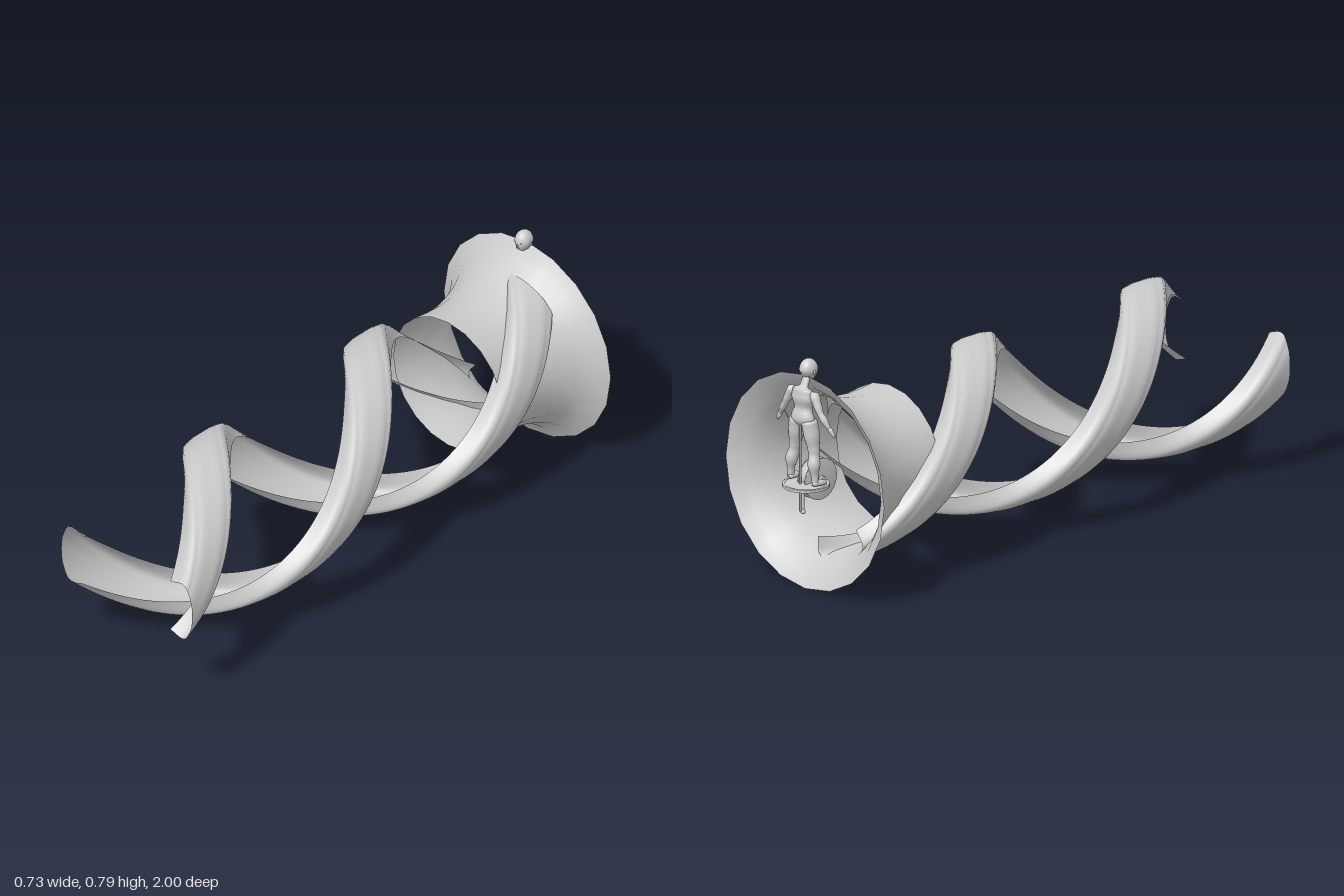
import * as THREE from 'three';
import { ParametricGeometry } from 'three/addons/geometries/ParametricGeometry.js';

const AXIS_Y = 0.367;
const PITCH = 1.54;
const V3 = (x, y, z) => new THREE.Vector3(x, y, z);

export function createModel() {
  const model = new THREE.Group();
  const solid = new THREE.MeshStandardMaterial({ color: 0xcccccc });
  const thin = new THREE.MeshStandardMaterial({ color: 0xcccccc, side: THREE.DoubleSide });

  function add(name, geometry, x = 0, y = 0, z = 0, material = solid, parent = model) {
    const mesh = new THREE.Mesh(geometry, material);
    mesh.name = name;
    mesh.position.set(x, y, z);
    parent.add(mesh);
    return mesh;
  }

  // Organic tube through [x, y, z, radius] points, optionally flattened
  function limb(points, sx = 1, sz = 1) {
    const curve = new THREE.CatmullRomCurve3(points.map(p => V3(p[0], p[1], p[2])));
    const rings = points.length * 5, sides = 16;
    const geometry = new THREE.TubeGeometry(curve, rings, 1, sides);
    const pos = geometry.attributes.position, v = V3(0, 0, 0);
    for (let i = 0; i <= rings; i++) {
      const t = curve.getUtoTmapping(i / rings) * (points.length - 1);
      const k = Math.min(Math.floor(t), points.length - 2);
      const r = THREE.MathUtils.lerp(points[k][3], points[k + 1][3], THREE.MathUtils.smoothstep(t - k, 0, 1));
      const c = curve.getPointAt(i / rings);
      for (let j = 0; j <= sides; j++) {
        const n = i * (sides + 1) + j;
        v.fromBufferAttribute(pos, n).sub(c).multiplyScalar(r);
        pos.setXYZ(n, c.x + v.x * sx, c.y + v.y, c.z + v.z * sz);
      }
    }
    geometry.computeVertexNormals();
    return geometry;
  }

  // Flared horn, open at both ends
  const hornProfile = [
    [0.241, -0.54], [0.235, -0.59], [0.232, -0.65], [0.236, -0.7], [0.246, -0.75],
    [0.262, -0.8], [0.285, -0.845], [0.315, -0.885], [0.367, -0.92],
  ].map(([r, z]) => new THREE.Vector2(r, z));
  add('horn', new THREE.LatheGeometry(hornProfile, 20).rotateX(Math.PI / 2), 0, AXIS_Y, 0, thin);

  // Two spiral bands with a channel section: [angle in degrees, radius]
  const section = new THREE.CatmullRomCurve3([
    [-26, 0.213], [-24, 0.265], [-14, 0.285], [0, 0.288], [14, 0.285], [24, 0.265], [26, 0.213],
  ].map(([a, r]) => V3(a * Math.PI / 180, r, 0)));
  for (let s = 0; s < 2; s++) {
    const band = new ParametricGeometry((u, v, target) => {
      const z = THREE.MathUtils.lerp(1, -0.84, u);
      const p = section.getPoint(THREE.MathUtils.clamp(v, 0, 1));
      const a = (1 - z) / PITCH * Math.PI * 2 + s * Math.PI + p.x;
      target.set(p.y * Math.cos(a), AXIS_Y + p.y * Math.sin(a), z);
    }, 96, 18);
    add(s ? 'spiralBandRight' : 'spiralBandLeft', band, 0, 0, 0, thin);
  }

  // Standing figure
  const figure = new THREE.Group();
  figure.name = 'figure';
  model.add(figure);
  const body = (name, geometry, x, y, z) => add(name, geometry, x, y, z, solid, figure);

  body('torso', limb([
    [0, 0.555, -0.928, 0.004], [0, 0.566, -0.928, 0.028], [0, 0.59, -0.93, 0.048], [0, 0.625, -0.928, 0.036],
    [0, 0.66, -0.928, 0.048], [0, 0.685, -0.928, 0.042], [0, 0.697, -0.925, 0.016], [0, 0.725, -0.912, 0.015],
  ], 1, 0.58));

  // Head: an egg narrowing to the chin
  const head = new THREE.SphereGeometry(1, 28, 20);
  const hp = head.attributes.position;
  for (let i = 0; i < hp.count; i++) {
    const y = hp.getY(i), k = y < 0 ? 1 + 0.28 * y : 1;
    hp.setXYZ(i, hp.getX(i) * 0.029 * k, y * 0.037, hp.getZ(i) * 0.033 * k + (y < 0 ? -0.007 * y : 0));
  }
  head.computeVertexNormals();
  body('head', head, 0, 0.749, -0.904);
  body('nose', new THREE.ConeGeometry(0.004, 0.016, 8), 0, 0.744, -0.871);
  body('mouth', new THREE.SphereGeometry(0.006, 10, 8).scale(1.2, 0.4, 0.5), 0, 0.729, -0.875);

  for (const s of [1, -1]) {
    const side = s > 0 ? 'left' : 'right';
    body(side + 'Ear', new THREE.SphereGeometry(0.008, 10, 8).scale(0.4, 1, 0.6), s * 0.029, 0.745, -0.906);
    body(side + 'Eye', new THREE.SphereGeometry(0.005, 10, 8).scale(1.1, 0.6, 0.5), s * 0.011, 0.752, -0.875);
    body(side + 'Leg', limb([
      [s * 0.026, 0.6, -0.93, 0.006], [s * 0.028, 0.58, -0.928, 0.027], [s * 0.035, 0.54, -0.925, 0.027],
      [s * 0.043, 0.49, -0.923, 0.02], [s * 0.046, 0.47, -0.924, 0.018], [s * 0.051, 0.44, -0.93, 0.021],
      [s * 0.055, 0.4, -0.93, 0.012], [s * 0.056, 0.376, -0.93, 0.011], [s * 0.056, 0.369, -0.93, 0.002],
    ]));
    body(side + 'Foot', limb([
      [s * 0.055, 0.376, -0.943, 0.003], [s * 0.055, 0.377, -0.935, 0.01], [s * 0.058, 0.376, -0.91, 0.011],
      [s * 0.06, 0.373, -0.89, 0.008], [s * 0.06, 0.372, -0.882, 0.002],
    ], 1.3));
    body(side + 'Arm', limb([
      [s * 0.035, 0.682, -0.928, 0.006], [s * 0.052, 0.673, -0.928, 0.017], [s * 0.068, 0.646, -0.93, 0.014],
      [s * 0.083, 0.62, -0.93, 0.011], [s * 0.095, 0.603, -0.927, 0.012], [s * 0.112, 0.578, -0.922, 0.007],
    ]));
    body(side + 'Hand', limb([
      [s * 0.11, 0.581, -0.922, 0.006], [s * 0.118, 0.57, -0.92, 0.01],
      [s * 0.127, 0.558, -0.917, 0.008], [s * 0.134, 0.547, -0.914, 0.002],
    ], 1, 0.6));
  }

  // Stand: footplate, support pole and lower knob
  add('footplate', new THREE.CylinderGeometry(0.078, 0.078, 0.009, 32), -0.006, 0.36, -0.922);
  add('footplateRim', new THREE.TorusGeometry(0.073, 0.005, 8, 32).rotateX(Math.PI / 2), -0.006, 0.362, -0.922);
  add('supportPole', new THREE.CylinderGeometry(0.0035, 0.0035, 0.42, 10), 0, 0.48, -0.942);
  add('lowerPole', new THREE.CylinderGeometry(0.005, 0.005, 0.09, 10), 0, 0.315, -0.93);
  add('knob', new THREE.SphereGeometry(0.009, 14, 10), 0, 0.267, -0.93);

  // Grooved wheel ahead of the pole
  const wheelProfile = [
    [0.012, -0.02], [0.07, -0.02], [0.07, -0.012], [0.054, -0.006],
    [0.054, 0.006], [0.07, 0.012], [0.07, 0.02], [0.012, 0.02],
  ].map(([r, x]) => new THREE.Vector2(r, x));
  add('wheel', new THREE.LatheGeometry(wheelProfile, 28).rotateZ(Math.PI / 2), 0, 0.367, -0.865, thin);
  add('axle', new THREE.CylinderGeometry(0.012, 0.012, 0.06, 12).rotateZ(Math.PI / 2), 0, 0.367, -0.865);

  return model;
}
